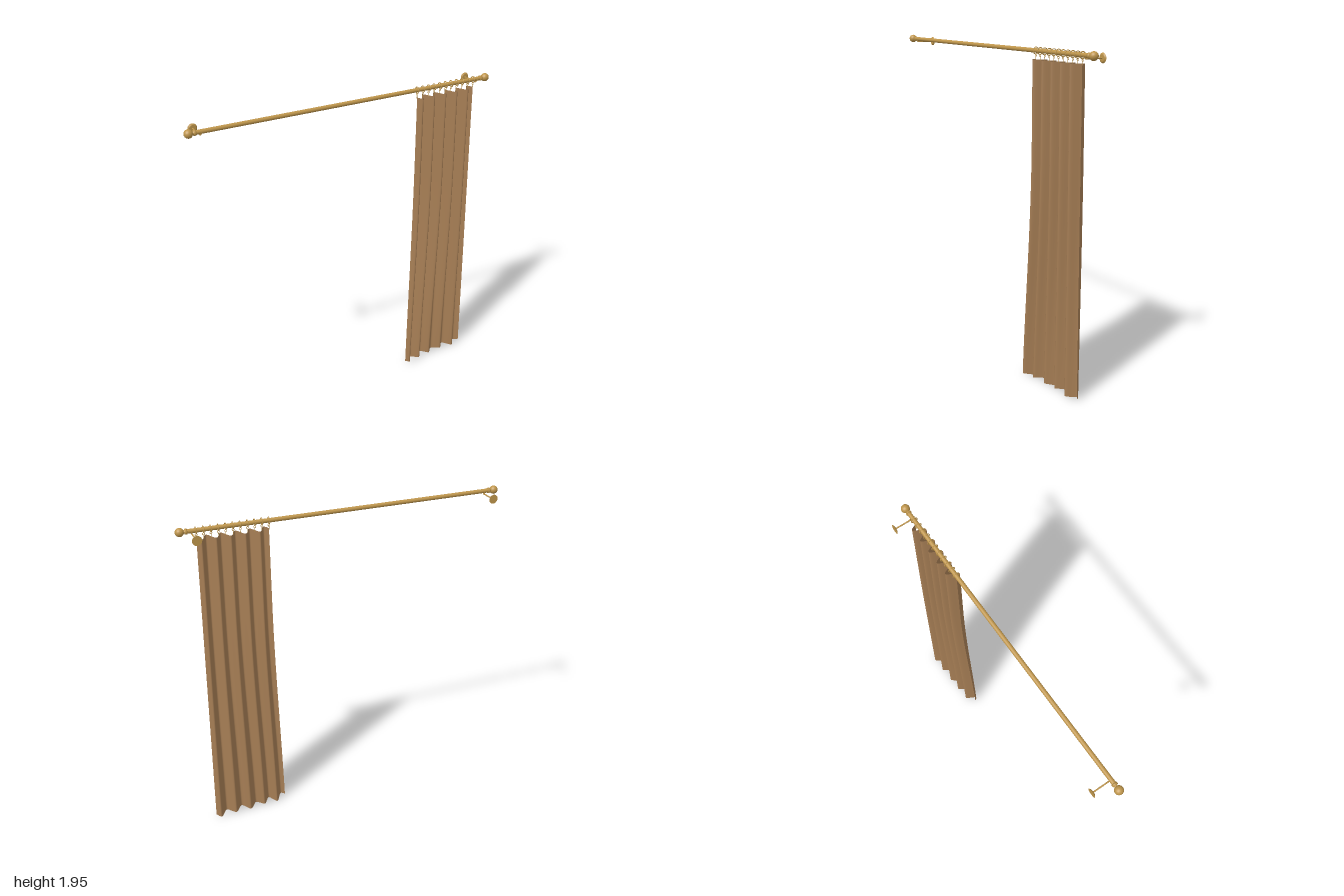
import * as THREE from 'three';

const ROD_Y = 1.923, ROD_Z = 0.03;
const TOP = 1.877, FOLDS = 5, RINGS = 11;

export function createModel() {
  const group = new THREE.Group();
  const brass = new THREE.MeshStandardMaterial({ color: 0xbf964c });
  brass.name = 'brass';
  const cloth = new THREE.MeshStandardMaterial({ color: 0xa57d54, side: THREE.DoubleSide });
  cloth.name = 'brown cloth';

  const add = (parent, name, geometry, material, x = 0, y = 0, z = 0) => {
    const mesh = new THREE.Mesh(geometry, material);
    mesh.name = name;
    mesh.position.set(x, y, z);
    parent.add(mesh);
    return mesh;
  };

  // Rod
  add(group, 'rod', new THREE.CylinderGeometry(0.0125, 0.0125, 1.88, 24), brass, 0, ROD_Y, ROD_Z)
    .rotation.z = Math.PI / 2;

  // Finials: collar, neck and ball, turned around the rod axis
  const neck = [[0, -0.006], [0.0155, -0.006], [0.0165, 0], [0.0155, 0.006], [0.009, 0.007], [0.009, 0.02]]
    .map(([r, h]) => new THREE.Vector2(r, h));
  for (const side of [-1, 1]) {
    const finial = new THREE.Group();
    finial.name = side > 0 ? 'leftFinial' : 'rightFinial';
    finial.position.set(side * 0.94, ROD_Y, ROD_Z);
    finial.rotation.z = -side * Math.PI / 2;
    add(finial, 'finialNeck', new THREE.LatheGeometry(neck, 20), brass);
    add(finial, 'finialBall', new THREE.SphereGeometry(0.025, 20, 14), brass, 0, 0.035, 0);
    group.add(finial);

    // Wall bracket: arm, cradle under the rod and round wall plate
    const bracket = new THREE.Group();
    bracket.name = side > 0 ? 'leftBracket' : 'rightBracket';
    bracket.position.set(side * 0.908, 1.905, 0);
    add(bracket, 'bracketArm', new THREE.CylinderGeometry(0.004, 0.004, 0.112, 12), brass, 0, 0, -0.026)
      .rotation.x = Math.PI / 2;
    add(bracket, 'bracketCradle', new THREE.TorusGeometry(0.015, 0.003, 8, 20, Math.PI), brass, 0, ROD_Y - 1.905, ROD_Z)
      .rotation.set(0, Math.PI / 2, Math.PI, 'YXZ');
    add(bracket, 'wallPlate', new THREE.CylinderGeometry(0.02, 0.028, 0.006, 28), brass, 0, 0, -0.082)
      .rotation.x = Math.PI / 2;
    bracket.getObjectByName('wallPlate').rotation.x = Math.PI / 2;
    group.add(bracket);
  }

  // Curtain rings with a small eye and a pin down to the cloth
  const ringGeo = new THREE.TorusGeometry(0.0185, 0.0025, 8, 24);
  const eyeGeo = new THREE.TorusGeometry(0.006, 0.0016, 6, 14);
  const pinGeo = new THREE.CylinderGeometry(0.0016, 0.0016, 0.02, 6);
  for (let i = 0; i < RINGS; i++) {
    const ring = new THREE.Group();
    ring.name = 'curtainRing' + (i + 1);
    ring.position.set(0.47 + 0.0415 * i, 0, ROD_Z);
    add(ring, 'ring', ringGeo, brass, 0, ROD_Y, 0).rotation.y = Math.PI / 2;
    add(ring, 'eye', eyeGeo, brass, 0, 1.897, 0);
    add(ring, 'pin', pinGeo, brass, 0, 1.881, 0);
    group.add(ring);
  }

  // Pleated curtain: wave across the width, drifting and flaring towards the hem
  const curtainGeo = new THREE.PlaneGeometry(1, 1, 160, 48);
  const pos = curtainGeo.attributes.position;
  for (let i = 0; i < pos.count; i++) {
    const u = pos.getX(i) + 0.5;
    const t = 0.5 - pos.getY(i);
    const s = THREE.MathUtils.smoothstep(t, 0.25, 1.15) / THREE.MathUtils.smoothstep(1, 0.25, 1.15);
    const a = u * FOLDS * Math.PI * 2;
    const x0 = 0.47 - 0.04 * s;
    const x1 = 0.885 + 0.02 * t;
    const amp = 0.034 - 0.011 * s + 0.003 * s * Math.sin(u * 9);
    const x = x0 + (x1 - x0) * u - 0.012 * s * Math.sin(Math.PI * u);
    const z = 0.032 + amp * Math.sin(a) + 0.034 * s * Math.pow(1 - u, 3)
      + 0.0012 * Math.sin(a * 3 + t * 3) * t;
    const hem = 0.007 + 0.005 * Math.sin(u * 17 + 2.2) + 0.002 * Math.sin(a);
    pos.setXYZ(i, x, TOP + (hem - TOP) * t, z);
  }
  curtainGeo.computeVertexNormals();
  add(group, 'curtain', curtainGeo, cloth);

  return group;
}
